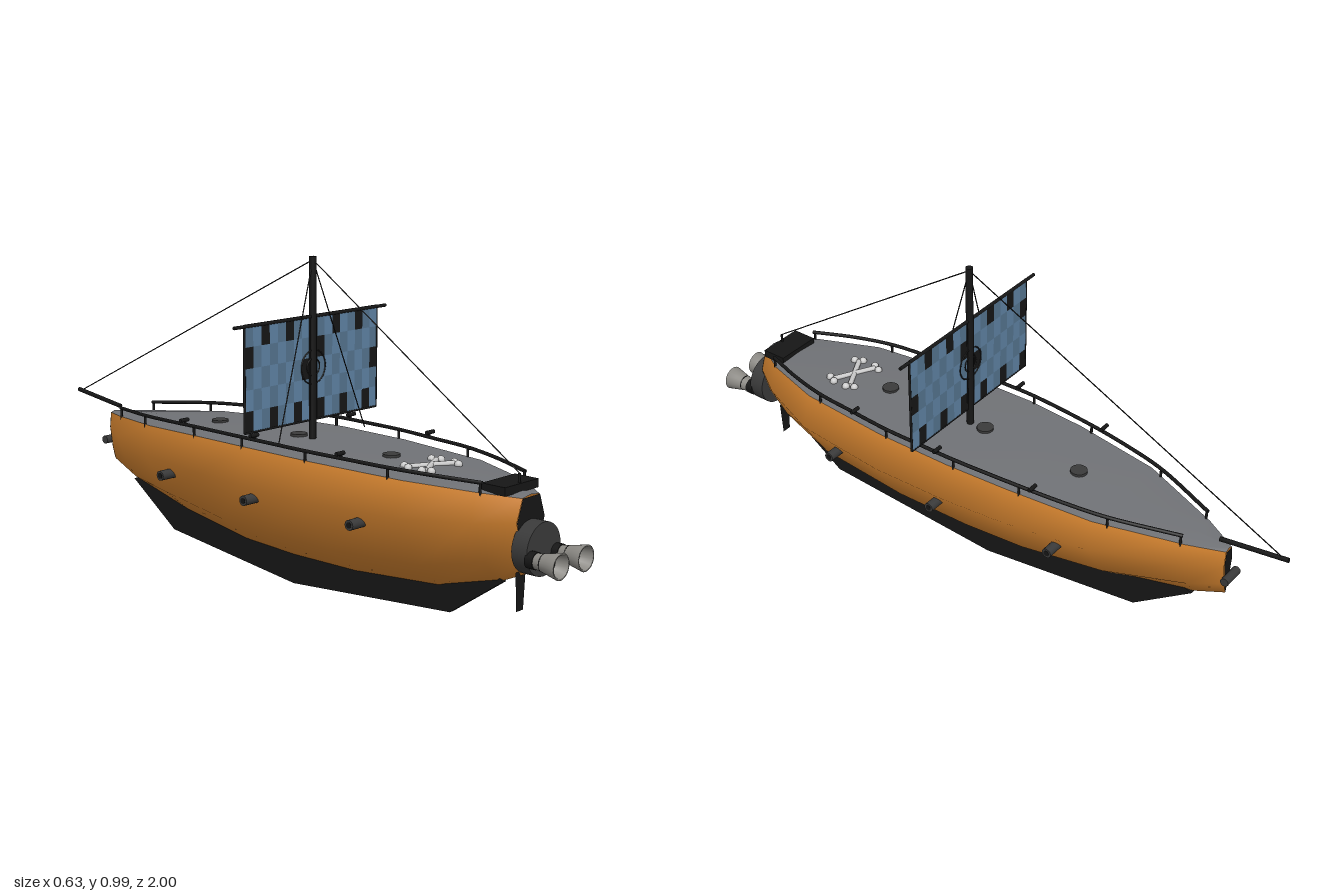
import * as THREE from 'three';

const mat = (color) => new THREE.MeshStandardMaterial({ color, side: THREE.DoubleSide });
const orange = mat(0xd58430), deckGrey = mat(0x707276), black = mat(0x161616), iron = mat(0x3a3a3a);
const steel = mat(0x8c8a85), bone = mat(0xd0d0d0), blueA = mat(0x5f83a5), blueB = mat(0x557590);

// Hull stations: z, deck height, keel height, deck half width, greatest half width
const stations = [
  [0.86, 0.42, 0.21, 0.037, 0.06],
  [0.76, 0.43, 0.165, 0.1, 0.125],
  [0.56, 0.44, 0.11, 0.168, 0.2],
  [0.25, 0.446, 0.086, 0.2, 0.23],
  [0, 0.448, 0.085, 0.203, 0.228],
  [-0.2, 0.445, 0.095, 0.19, 0.212],
  [-0.47, 0.434, 0.14, 0.155, 0.175],
  [-0.72, 0.415, 0.205, 0.065, 0.075],
  [-0.82, 0.405, 0.25, 0.015, 0.02],
];

// Interpolated station at any z
function stationAt(z) {
  let i = 0;
  while (i < stations.length - 2 && z < stations[i + 1][0]) i++;
  const a = stations[i], b = stations[i + 1], t = (z - a[0]) / (b[0] - a[0]);
  return a.map((v, k) => v + (b[k] - v) * t);
}

// Hull cross-section from the left deck edge under the keel to the right one
function hullSection([, top, keel, deckW, maxW]) {
  const h = top - keel;
  const half = [[deckW, top], [maxW, keel + h * 0.7], [maxW * 0.52, keel + h * 0.25]];
  return [...half, [0, keel], ...half.map(([x, y]) => [-x, y]).reverse()];
}

const deckSection = ([, top, , w]) => [[-w, top], [0, top + 0.006], [w, top]];

// Skin over one cross-section per station
function loft(section) {
  const pos = [], idx = [];
  const n = section(stations[0]).length;
  stations.forEach((s, i) => {
    section(s).forEach(([x, y]) => pos.push(x, y, s[0]));
    if (i === stations.length - 1) return;
    for (let j = 0; j < n - 1; j++) {
      const a = i * n + j, c = a + n;
      idx.push(a, a + 1, c, a + 1, c + 1, c);
    }
  });
  const g = new THREE.BufferGeometry();
  g.setAttribute('position', new THREE.Float32BufferAttribute(pos, 3));
  g.setIndex(idx);
  g.computeVertexNormals();
  return g;
}

const flat = (pts) => new THREE.Shape(pts.map(([x, y]) => new THREE.Vector2(x, y)));

export function createModel() {
  const root = new THREE.Group();
  const add = (name, geo, material, x = 0, y = 0, z = 0, parent = root) => {
    const m = new THREE.Mesh(geo, material);
    m.name = name;
    m.position.set(x, y, z);
    parent.add(m);
    return m;
  };
  const group = (name) => {
    const g = new THREE.Group();
    g.name = name;
    root.add(g);
    return g;
  };
  // Round bar between two points
  const bar = (name, p, q, r, material, parent = root, sides = 10, r2 = r) => {
    const a = new THREE.Vector3(...p), b = new THREE.Vector3(...q);
    const m = add(name, new THREE.CylinderGeometry(r2, r, a.distanceTo(b), sides), material, 0, 0, 0, parent);
    m.position.copy(a).lerp(b, 0.5);
    m.quaternion.setFromUnitVectors(new THREE.Vector3(0, 1, 0), b.sub(a).normalize());
    return m;
  };

  // Hull, deck and dark end plates
  add('hull', loft(hullSection), orange);
  add('deck', loft(deckSection), deckGrey);
  add('transom', new THREE.ShapeGeometry(flat(hullSection(stations[0]))), black, 0, 0, 0.861);
  add('bowPlate', new THREE.ShapeGeometry(flat(hullSection(stations[8]))), black, 0, 0, -0.821);

  // Keel fin, drawn as (z, y) and turned onto the centre plane
  const keelShape = flat([[0.78, 0.17], [0.6, 0.045], [0, 0], [-0.53, 0.065], [-0.72, 0.2], [-0.6, 0.24], [0, 0.15], [0.6, 0.17], [0.74, 0.2]]);
  const keel = new THREE.ExtrudeGeometry(keelShape, { depth: 0.014, bevelEnabled: false });
  keel.rotateY(-Math.PI / 2);
  add('keel', keel, black, 0.007);

  // Rudder blade
  add('rudder', new THREE.ShapeGeometry(flat([[-0.022, 0.21], [-0.015, 0.1], [0.015, 0.1], [0.022, 0.21]])), black, 0, 0, 0.832);

  // Engine drum with two bell nozzles
  const engine = group('engine');
  bar('engineDrum', [0, 0.285, 0.855], [0, 0.285, 0.905], 0.074, iron, engine, 32);
  const bell = new THREE.LatheGeometry(
    [[0.021, 0], [0.023, 0.02], [0.03, 0.05], [0.037, 0.08], [0.031, 0.08], [0.024, 0.045], [0, 0.03]]
      .map(([r, h]) => new THREE.Vector2(r, h)), 24);
  bell.rotateX(Math.PI / 2);
  for (const s of [-1, 1]) {
    bar('nozzleNeck', [s * 0.055, 0.268, 0.9], [s * 0.055, 0.268, 0.925], 0.024, black, engine, 20);
    add('nozzle', bell, steel, s * 0.055, 0.268, 0.92, engine);
    bar('nozzleThroat', [s * 0.055, 0.268, 0.945], [s * 0.055, 0.268, 0.965], 0.025, black, engine, 20);
  }

  // Stern locker
  add('sternLocker', new THREE.BoxGeometry(0.145, 0.024, 0.078), black, 0, 0.438, 0.79);

  // Side cannons and bow crossbar
  const cannons = group('cannons');
  for (const [z, end] of [[0.43, 0.236], [0.035, 0.25], [-0.36, 0.214]])
    for (const s of [-1, 1]) {
      bar('cannon', [s * (end - 0.08), 0.305, z], [s * end, 0.305, z], 0.015, iron, cannons, 14);
      bar('cannonMuzzle', [s * end, 0.305, z], [s * (end + 0.001), 0.305, z], 0.009, black, cannons, 12);
    }
  bar('bowCrossbar', [-0.034, 0.315, -0.832], [0.034, 0.315, -0.832], 0.013, iron, cannons, 14);

  // Railings with posts and small swivel guns
  const rails = group('railings');
  const railPoint = (z, s, lift) => {
    const [, top, , w] = stationAt(z);
    return [s * (w - 0.002), top + lift, z];
  };
  const railZ = [0.77, 0.64, 0.51, 0.37, 0.23, 0.1, -0.02, -0.24, -0.38, -0.51, -0.71];
  for (const s of [-1, 1]) {
    const path = new THREE.CatmullRomCurve3(railZ.map((z) => new THREE.Vector3(...railPoint(z, s, 0.027))));
    add('rail', new THREE.TubeGeometry(path, 60, 0.0055, 8), black, 0, 0, 0, rails);
    for (const z of [0.765, 0.51, 0.23, -0.02, -0.24, -0.51, -0.705])
      bar('railPost', railPoint(z, s, -0.012), railPoint(z, s, 0.027), 0.004, black, rails, 8);
    for (const z of [0.355, 0.035, -0.285]) {
      const [x, y] = railPoint(z, s, 0.041);
      bar('swivelPost', [x, y - 0.016, z], [x, y, z], 0.004, black, rails, 8);
      bar('swivelGun', [x - s * 0.012, y, z], [x + s * 0.02, y, z], 0.006, black, rails, 10);
    }
  }

  // Deck hatches
  for (const z of [-0.32, 0.015, 0.375])
    add('hatch', new THREE.CylinderGeometry(0.025, 0.025, 0.014, 20), iron, 0, stationAt(z)[1] + 0.006, z);

  // Crossed bones on the deck
  const bones = group('crossedBones');
  for (const s of [-1, 1]) {
    bar('boneShaft', [-0.06, 0.448, 0.52 - s * 0.032], [0.06, 0.448, 0.52 + s * 0.032], 0.008, bone, bones, 8);
    for (const e of [-1, 1])
      for (const k of [-1, 1])
        add('boneKnob', new THREE.SphereGeometry(0.012, 10, 8), bone,
          e * 0.064 - k * s * 0.006, 0.447, 0.52 + e * s * 0.036 + k * 0.012, bones);
  }

  // Mast, yard and bowsprit
  bar('mast', [0, 0.43, 0.07], [0, 0.985, 0.07], 0.011, black, root, 14);
  bar('yard', [-0.315, 0.812, 0.07], [0.315, 0.812, 0.07], 0.005, black);
  bar('bowsprit', [0, 0.428, -0.79], [0, 0.456, -1], 0.007, black);

  // Rigging lines from the masthead
  const rigging = group('rigging');
  const ends = [[0, 0.455, -0.985], [0, 0.475, 0.82], [0.182, 0.465, 0.11], [-0.182, 0.465, 0.11], [0, 0.44, 0.82]];
  for (const end of ends.slice(0, 4)) bar('line', [0, 0.975, 0.07], end, 0.0018, black, rigging, 5);
  bar('sternCleat', ends[1], ends[4], 0.004, black, rigging, 6);

  // Two chequered sail panels with dark edging
  const sail = group('sail');
  const cols = 8, rows = 5, width = 0.26, height = 0.304, bottom = 0.51;
  const tileW = width / cols, tileH = height / rows;
  const dark = new Set(['2,0', '5,0', '0,1', '7,2', '0,4', '3,4', '6,4']);
  const tile = new THREE.BoxGeometry(tileW, tileH, 0.005);
  for (const left of [-0.275, 0.015]) {
    for (let c = 0; c < cols; c++)
      for (let r = 0; r < rows; r++) {
        const m = dark.has(`${c},${r}`) ? black : (c + r) % 2 ? blueA : blueB;
        add('sailTile', tile, m, left + (c + 0.5) * tileW, bottom + height - (r + 0.5) * tileH, 0.07, sail);
      }
    const x0 = left, x1 = left + width, y0 = bottom, y1 = bottom + height;
    const corners = [[x0, y0, 0.07], [x1, y0, 0.07], [x1, y1, 0.07], [x0, y1, 0.07]];
    corners.forEach((p, i) => bar('sailEdge', p, corners[(i + 1) % 4], 0.004, black, sail, 6));
  }

  // Ring emblem around the mast
  for (const r of [0.05, 0.026])
    add('sailRing', new THREE.TorusGeometry(r, 0.003, 6, 36), black, 0, 0.665, 0.07, sail).scale.z = 1.6;

  return root;
}
